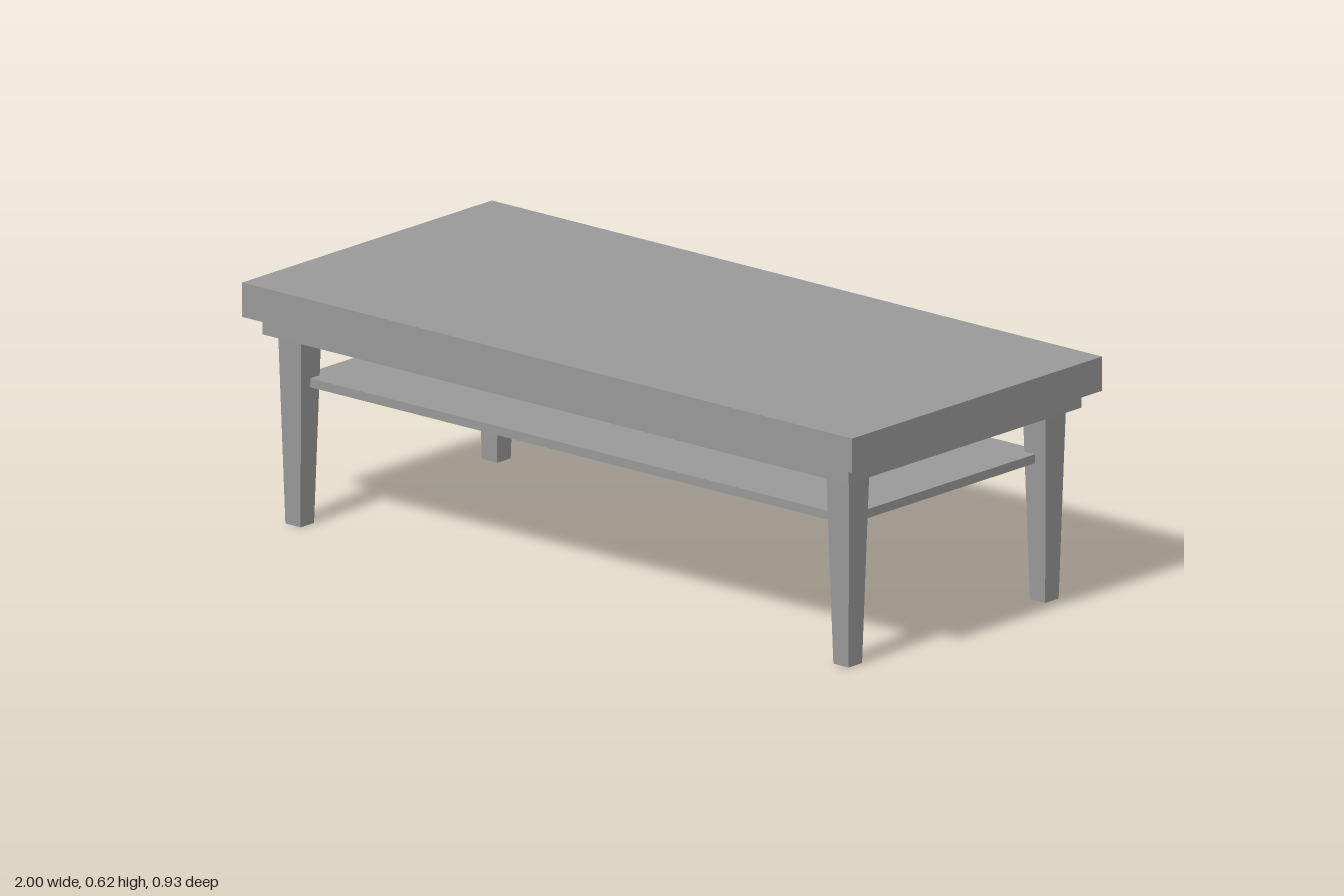
import * as THREE from 'three';

export function createModel() {
  const table = new THREE.Group();
  table.name = 'coffeeTable';
  const grey = new THREE.MeshStandardMaterial({ color: 0x999999 });
  grey.name = 'grey';

  // Horizontal slab centred on the origin, between two heights
  function slab(name, width, depth, bottom, top) {
    const mesh = new THREE.Mesh(new THREE.BoxGeometry(width, top - bottom, depth), grey);
    mesh.name = name;
    mesh.position.y = (bottom + top) / 2;
    table.add(mesh);
  }

  slab('tableTop', 2, 0.928, 0.532, 0.62);
  slab('apron', 1.92, 0.866, 0.488, 0.532);
  // Shelf corners end inside the legs
  slab('shelf', 1.796, 0.73, 0.356, 0.379);

  // Square legs, tapering towards the floor
  const legHeight = 0.488;
  const legGeometry = new THREE.CylinderGeometry(0.0375 * Math.SQRT2, 0.025 * Math.SQRT2, legHeight, 4)
    .rotateY(Math.PI / 4)
    .toNonIndexed();
  legGeometry.computeVertexNormals();
  for (const x of [-1, 1]) {
    for (const z of [-1, 1]) {
      const leg = new THREE.Mesh(legGeometry, grey);
      leg.name = (z > 0 ? 'front' : 'back') + (x > 0 ? 'Left' : 'Right') + 'Leg';
      leg.position.set(x * 0.898, legHeight / 2, z * 0.365);
      table.add(leg);
    }
  }

  return table;
}
